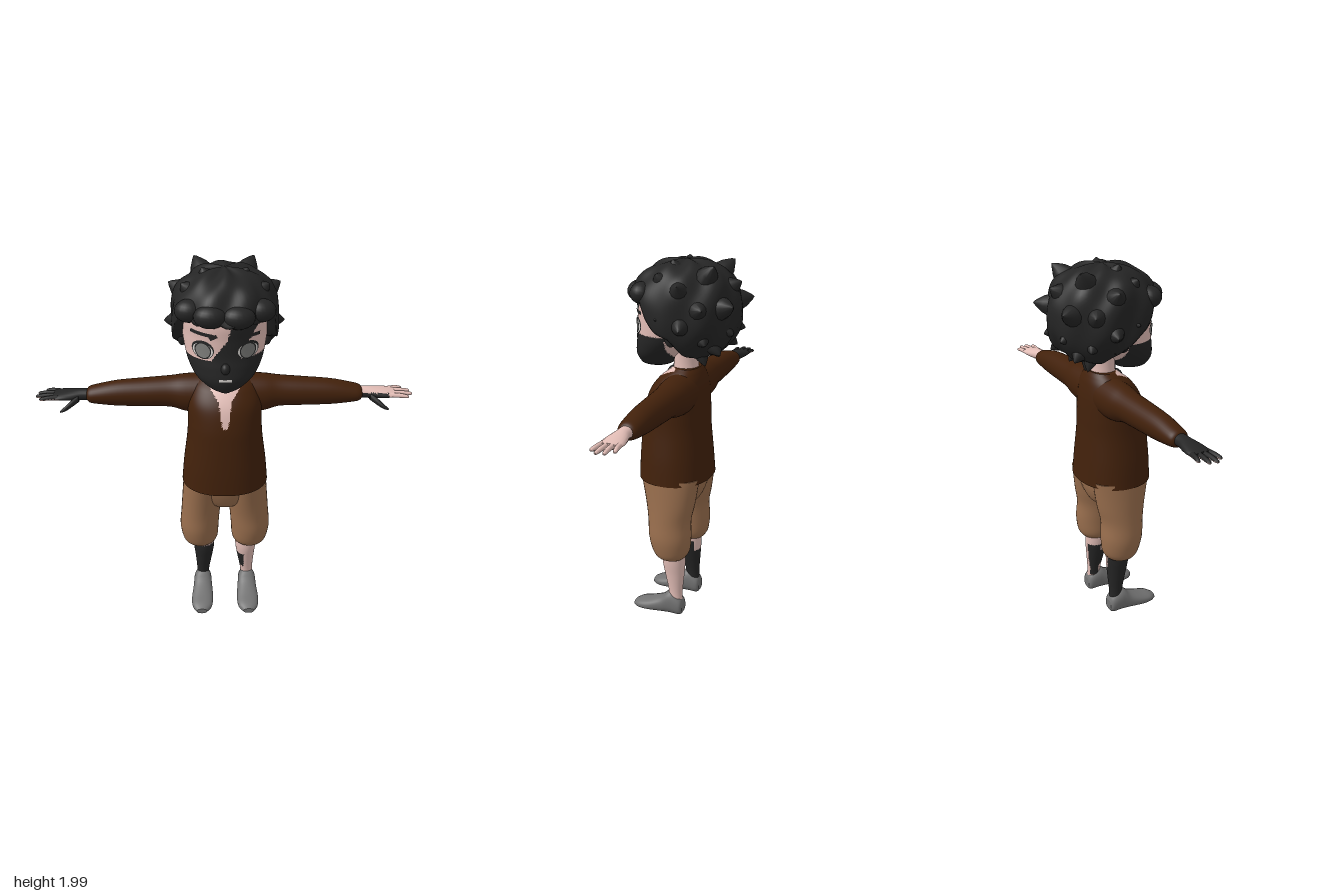
import * as THREE from 'three';

const mat = (name, color) => Object.assign(new THREE.MeshStandardMaterial({ color }), { name });
const skin = mat('skin', 0xe2bdb6), black = mat('black', 0x252525), brown = mat('shirtBrown', 0x42210b);
const tan = mat('trouserTan', 0x9a6f4e), grey = mat('shoeGrey', 0x727272), iris = mat('irisGrey', 0x7d7d7a);
const white = mat('eyeWhite', 0xd8d4d0);

// Closed skin over rows of points; rule(x, y, z) picks a material index per triangle
function grid(rows, rule = () => 0) {
  const n = rows[0].length, pos = rows.flat().flatMap(p => [p.x, p.y, p.z]), lists = [[], []];
  const flat = rows.flat();
  const tri = (a, b, c) => {
    const m = flat[a].clone().add(flat[b]).add(flat[c]).divideScalar(3);
    lists[rule(m.x, m.y, m.z) ? 1 : 0].push(a, b, c);
  };
  for (let i = 0; i < rows.length - 1; i++) {
    if (rows[i] === rows[i + 1]) continue; // doubled ring keeps a sharp rim
    for (let j = 0; j < n; j++) {
      const k = (j + 1) % n, a = i * n + j, b = i * n + k;
      tri(a, a + n, b);
      tri(b, a + n, b + n);
    }
  }
  const g = new THREE.BufferGeometry();
  g.setAttribute('position', new THREE.Float32BufferAttribute(pos, 3));
  g.setIndex(lists.flat());
  g.addGroup(0, lists[0].length, 0);
  g.addGroup(lists[0].length, lists[1].length, 1);
  g.computeVertexNormals();
  return g;
}

// Smooth sampler over sections [along, centre1, centre2, radius1, radius2]
function sampler(sections) {
  const curve = pts => new THREE.CatmullRomCurve3(pts, false, 'catmullrom', 0.5);
  const c = curve(sections.map(s => new THREE.Vector3(s[0], s[1], s[2])));
  const r = curve(sections.map(s => new THREE.Vector3(s[3], s[4], 0)));
  return u => [c.getPoint(u), r.getPoint(u)];
}
const place = {
  x: (t, u, v) => new THREE.Vector3(t, v, u), // sections: z then y
  y: (t, u, v) => new THREE.Vector3(u, t, v), // sections: x then z
  z: (t, u, v) => new THREE.Vector3(v, u, t), // sections: y then x
};
function loft(axis, sections, { side = 1, segs = 32, steps = 28, power = 2, rule } = {}) {
  const at = sampler(sections), rows = [];
  const sup = v => Math.sign(v) * Math.abs(v) ** (2 / power);
  const ring = (u, k) => {
    const [c, r] = at(u), row = [];
    for (let j = 0; j < segs; j++) {
      const a = j / segs * Math.PI * 2;
      const p = place[axis](c.x, c.y + k * r.x * sup(Math.cos(a)), c.z + k * r.y * sup(Math.sin(a)));
      p.x *= side;
      row.push(p);
    }
    return side < 0 ? row.reverse() : row;
  };
  for (let i = 0; i <= steps; i++) rows.push(ring(i / steps, 1));
  rows.unshift(ring(0, 0.001), rows[0]);
  rows.push(rows.at(-1), ring(1, 0.001));
  return grid(rows, rule);
}

const HEAD = [
  [1.43, 0, 0.18, 0.04, 0.06], [1.45, 0, 0.165, 0.09, 0.09], [1.5, 0, 0.15, 0.145, 0.12],
  [1.56, 0, 0.11, 0.18, 0.155], [1.62, 0, 0.075, 0.198, 0.18], [1.7, 0, 0.045, 0.21, 0.21],
  [1.8, 0, 0.03, 0.212, 0.225], [1.9, 0, 0.02, 0.16, 0.18], [1.95, 0, 0.02, 0.06, 0.08],
];
const headAt = sampler(HEAD);
// Depth of the face at a front position
function faceZ(x, y) {
  let lo = 0, hi = 1;
  for (let i = 0; i < 24; i++) {
    const m = (lo + hi) / 2;
    if (headAt(m)[0].x < y) lo = m; else hi = m;
  }
  const [c, r] = headAt(lo);
  return c.z + r.y * Math.sqrt(Math.max(0, 1 - (x / r.x) ** 2));
}
function drape(geo, off) {
  const p = geo.attributes.position;
  for (let i = 0; i < p.count; i++) p.setZ(i, faceZ(p.getX(i), p.getY(i)) + off);
  geo.computeVertexNormals();
  return geo;
}

export function createModel() {
  const model = new THREE.Group();
  const add = (name, geo, m) => {
    const mesh = new THREE.Mesh(geo, m);
    mesh.name = name;
    model.add(mesh);
    return mesh;
  };
  const blob = (name, m, [x, y, z], [a, b, c]) =>
    add(name, new THREE.SphereGeometry(1, 20, 14).scale(a, b, c).translate(x, y, z), m);

  // Head with dark mask
  const faceSkin = (x, y, z) => {
    if (z < 0.05 && y < 1.6) return true;
    if (x > 0) return (y > 1.615 && x > 0.075 + Math.max(0, y - 1.64) * 0.6) || (x < 0.03 && y > 1.69 && x < (y - 1.69) * 0.35);
    const edge = y > 1.69 ? 0 : -0.01 - (1.69 - y) * 0.65;
    return y > 1.605 && x < edge;
  };
  add('head', loft('y', HEAD, { segs: 112, steps: 72, rule: faceSkin }), [black, skin]);
  blob('nose', black, [0, 1.57, 0.262], [0.022, 0.028, 0.026]);
  const disc = (name, x, y, rx, ry, off, m) =>
    add(name, drape(new THREE.RingGeometry(0, 1, 28, 4).scale(rx, ry, 1).translate(x, y, 0), off), m);
  const strip = (name, x0, y0, x1, y1, h, m) => {
    const g = new THREE.PlaneGeometry(Math.hypot(x1 - x0, y1 - y0), h, 10, 2);
    g.rotateZ(Math.atan2(y1 - y0, x1 - x0)).translate((x0 + x1) / 2, (y0 + y1) / 2, 0);
    add(name, drape(g, 0.005), m);
  };
  for (const s of [-1, 1]) {
    disc('eyeOutline', s * 0.107, 1.657, 0.053, 0.046, 0.003, black);
    disc('eyeWhite', s * 0.107, 1.653, 0.048, 0.038, 0.005, white);
    disc('irisRim', s * 0.107, 1.655, 0.04, 0.041, 0.007, black);
    disc('iris', s * 0.107, 1.655, 0.034, 0.036, 0.009, iris);
    strip('browOuter', s * 0.11 - 0.055, 1.73 + (s < 0 ? 0.012 : 0.005), s * 0.11 + 0.055, 1.73 - s * 0.005, 0.018, black);
    blob('ear', black, [s * 0.212, 1.63, 0], [0.025, 0.05, 0.033]);
  }
  strip('browInner', -0.075, 1.718, -0.04, 1.738, 0.018, black);
  strip('mouth', -0.032, 1.513, 0.032, 1.513, 0.012, white);

  // Hair: lumpy cap with a hairline that drops towards the nape
  const hairRows = [], rad = Math.PI / 180;
  for (let i = 0; i <= 34; i++) {
    const row = [];
    for (let j = 0; j < 84; j++) {
      const phi = j / 84 * Math.PI * 2, deg = Math.abs(phi > Math.PI ? phi - 2 * Math.PI : phi) / rad;
      const low = 79 + 34 * THREE.MathUtils.smoothstep(deg, 50, 88) + 38 * THREE.MathUtils.smoothstep(deg, 88, 118);
      const edge = low + 3 * Math.sin(phi * 11 + 1);
      const th = Math.max(0.002, Math.min(i / 32, 1) * edge * rad);
      const lump = 1 + 0.03 * Math.sin(6 * phi + 1) * Math.sin(5 * th) + 0.022 * Math.sin(9 * phi + 4 * th) * Math.sin(th);
      const k = lump * (i > 32 ? 1 - (i - 32) * 0.15 : 1), out = Math.sin(th) ** 0.85 * k;
      const cy = Math.sign(Math.cos(th)) * Math.abs(Math.cos(th)) ** 0.85;
      row.push(new THREE.Vector3(0.268 * out * Math.sin(phi), 1.735 + 0.25 * cy * lump, 0.285 * out * Math.cos(phi)));
    }
    hairRows.push(row);
  }
  add('hairCap', grid(hairRows), black);
  const spike = (x, y, z, r) => {
    const tip = new THREE.Vector3(x, y, z), base = tip.clone().lerp(new THREE.Vector3(0, 1.73, 0), 0.4);
    const dir = tip.clone().sub(base), len = dir.length();
    const g = new THREE.LatheGeometry([[r, 0], [r * 0.95, 0.25], [r * 0.6, 0.65], [r * 0.22, 0.9], [0.0005, 1]]
      .map(([a, b]) => new THREE.Vector2(a, b * len)), 12);
    g.applyQuaternion(new THREE.Quaternion().setFromUnitVectors(new THREE.Vector3(0, 1, 0), dir.normalize()));
    add('hairTuft', g.translate(base.x, base.y, base.z), black);
  };
  for (const s of [-1, 1]) {
    [[0.305, 1.68, -0.08, 0.06], [0.275, 1.89, -0.06, 0.07], [0.16, 1.79, -0.305, 0.07], [0.15, 1.975, -0.2, 0.07],
      [0.09, 1.64, -0.285, 0.06], [0.21, 1.6, -0.18, 0.06], [0.1, 1.47, -0.14, 0.05], [0.26, 1.78, -0.18, 0.07],
      [0.13, 1.54, -0.23, 0.06], [0.22, 1.58, -0.05, 0.04], [0.27, 1.72, 0.06, 0.045], [0.11, 1.99, 0.03, 0.07],
      [0.21, 1.93, 0.08, 0.07]].forEach(([x, y, z, r]) => spike(s * x, y, z, r));
  }
  spike(0, 1.44, -0.1, 0.05);
  spike(0, 1.89, -0.29, 0.07);
  [[-0.17, 1.83, 0.17, 0.07], [-0.07, 1.825, 0.235, 0.08], [0.06, 1.82, 0.235, 0.08], [0.17, 1.83, 0.17, 0.07]]
    .forEach(([x, y, z, r]) => blob('fringeLock', black, [x, y, z], [r, 0.055, 0.06]));

  // Neck, shirt body with open collar
  add('neck', loft('y', [[1.34, 0, 0, 0.085, 0.085], [1.42, 0, 0.005, 0.07, 0.068], [1.5, 0, 0.005, 0.066, 0.064], [1.6, 0, 0, 0.07, 0.07]],
    { segs: 48, rule: (x, y, z) => z > 0.045 && x < 0.045 }), [skin, black]);
  const opening = (x, y, z) => {
    const half = y < 1.21 ? 0 : y < 1.34 ? 0.014 + (y - 1.21) * 0.14 : 0.032 + (y - 1.34) * 0.85;
    return z > 0.03 && Math.abs(x) < half;
  };
  add('shirtBody', loft('y', [
    [0.825, 0, 0.055, 0.23, 0.197], [0.95, 0, 0.057, 0.218, 0.19], [1.1, 0, 0.057, 0.198, 0.178], [1.2, 0, 0.052, 0.192, 0.17],
    [1.3, 0, 0.04, 0.19, 0.152], [1.37, 0, 0.022, 0.165, 0.122], [1.41, 0, 0.005, 0.13, 0.09], [1.435, 0, -0.005, 0.095, 0.065],
  ], { segs: 128, steps: 80, power: 2.2, rule: opening }), [brown, skin]);
  blob('throat', black, [-0.008, 1.385, 0.07], [0.045, 0.045, 0.045]);

  // Trouser seat
  add('trouserSeat', loft('y', [[0.655, 0, 0.045, 0.05, 0.07], [0.69, 0, 0.045, 0.13, 0.115],
    [0.76, 0, 0.045, 0.2, 0.145], [0.86, 0, 0.05, 0.212, 0.165]]), tan);

  for (const side of [-1, 1]) {
    const o = { side };
    add('sleeve', loft('x', [
      [0.08, 0, 1.31, 0.1, 0.11], [0.2, -0.002, 1.312, 0.092, 0.1], [0.28, -0.004, 1.318, 0.08, 0.083], [0.4, -0.002, 1.316, 0.074, 0.076],
      [0.55, 0, 1.312, 0.066, 0.068], [0.66, 0, 1.307, 0.058, 0.051], [0.7, 0, 1.305, 0.05, 0.041], [0.715, 0, 1.305, 0.034, 0.026]], o), brown);

    // Hand, fingers and thumb
    const handRule = side > 0 ? (x, y, z) => z > 0.018 && y < 1.317 && x < 0.85
      : (x, y, z) => !(x < -0.85 && y < 1.3);
    const hand = { side, segs: 20, steps: 18, rule: handRule };
    add('palm', loft('x', [[0.68, 0, 1.306, 0.036, 0.03], [0.74, 0, 1.306, 0.036, 0.03], [0.79, -0.002, 1.304, 0.048, 0.027],
      [0.84, -0.003, 1.303, 0.056, 0.021], [0.885, -0.003, 1.302, 0.052, 0.014]], hand), [skin, black]);
    [[-0.044, -0.056, 0.935], [-0.018, -0.024, 0.97], [0.009, 0.012, 0.978], [0.035, 0.046, 0.955]].forEach(([z0, z1, end]) =>
      add('finger', loft('x', [[0.86, z0, 1.303, 0.013, 0.013], [(0.86 + end) / 2, (z0 + z1) / 2, 1.304, 0.012, 0.012],
        [end - 0.012, z1, 1.301, 0.01, 0.009], [end, z1, 1.3, 0.004, 0.004]], { ...hand, segs: 12, steps: 10 }), [skin, black]));
    add('thumb', loft('x', [[0.755, 0.025, 1.295, 0.02, 0.02], [0.79, 0.055, 1.278, 0.02, 0.018],
      [0.82, 0.08, 1.262, 0.014, 0.013], [0.845, 0.092, 1.252, 0.005, 0.005]], { side, segs: 14, steps: 12 }), black);

    add('trouserLeg', loft('y', [
      [0.37, 0.14, 0.03, 0.065, 0.065], [0.385, 0.14, 0.035, 0.085, 0.085], [0.42, 0.14, 0.037, 0.1, 0.105], [0.5, 0.143, 0.042, 0.108, 0.118],
      [0.6, 0.135, 0.047, 0.108, 0.12], [0.7, 0.125, 0.045, 0.11, 0.138], [0.85, 0.115, 0.05, 0.108, 0.165]], o), tan);

    // Calf with dark marking
    const calfRule = side > 0
      ? (x, y, z) => x < 0.11 && y > 0.11 && y < 0.33 && (z < 0.03 || (y > 0.18 && y < 0.29))
      : (x, y, z) => !(y > 0.365 || (y > 0.3 && z < -0.01 && x > -0.125));
    add('calf', loft('y', [[0.08, 0.13, 0.015, 0.035, 0.038], [0.15, 0.127, 0.018, 0.036, 0.04], [0.25, 0.122, 0.025, 0.048, 0.055],
      [0.33, 0.12, 0.03, 0.058, 0.065], [0.4, 0.12, 0.03, 0.06, 0.065]], { side, segs: 48, steps: 50, rule: calfRule }), [skin, black]);

    add('shoe', loft('z', [
      [-0.03, 0.05, 0.13, 0.03, 0.03], [-0.015, 0.055, 0.13, 0.053, 0.045], [0.03, 0.07, 0.13, 0.07, 0.05], [0.06, 0.068, 0.13, 0.068, 0.052],
      [0.1, 0.05, 0.13, 0.05, 0.056], [0.17, 0.035, 0.132, 0.035, 0.062], [0.23, 0.027, 0.133, 0.026, 0.055], [0.265, 0.02, 0.135, 0.016, 0.03]],
    { side, power: 2.3 }), grey);
  }
  return model;
}
